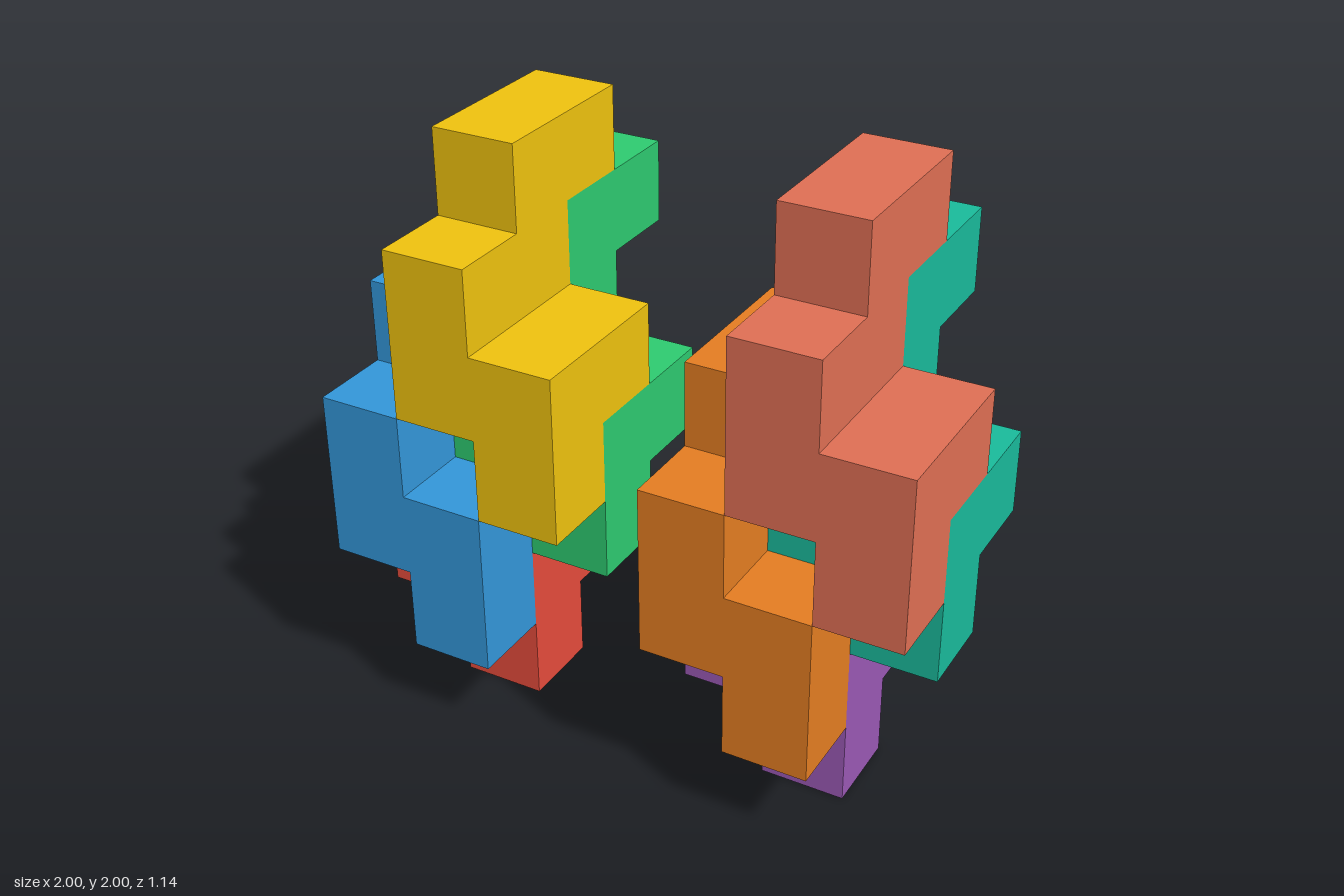
import * as THREE from 'three';
import { mergeGeometries } from 'three/addons/utils/BufferGeometryUtils.js';

const U = 2 / 7; // edge of one cube

// Eight cubes of the stepped puzzle piece: x, y, z in cube units
const CELLS = [
  [0, 3, 0], [0, 3, 1],
  [0, 2, 1], [0, 2, 2],
  [0, 1, 2],
  [1, 1, 1], [1, 1, 2],
  [1, 0, 2],
];

const DIRECTIONS = [[1, 0, 0], [-1, 0, 0], [0, 1, 0], [0, -1, 0], [0, 0, 1], [0, 0, -1]];

// Joins the cubes into one solid, keeping only the outer faces
function pieceGeometry() {
  const filled = new Set(CELLS.map(String));
  const faces = [];
  const front = new THREE.Vector3(0, 0, 1);
  for (const cell of CELLS) {
    for (const dir of DIRECTIONS) {
      if (filled.has(String(cell.map((c, a) => c + dir[a])))) continue;
      const normal = new THREE.Vector3(...dir);
      const face = new THREE.PlaneGeometry(U, U);
      face.applyQuaternion(new THREE.Quaternion().setFromUnitVectors(front, normal));
      const centre = cell.map((c, a) => (c + 0.5 + dir[a] / 2) * U);
      faces.push(face.translate(...centre));
    }
  }
  return mergeGeometries(faces);
}

// Where the four pieces of a stack sit, in cube units
const SLOTS = [
  ['upperFrontPiece', 1, 3, 1],
  ['lowerFrontPiece', 0, 1, 1],
  ['upperBackPiece', 1, 2, 0],
  ['lowerBackPiece', 0, 0, 0],
];

function createStack(name, startX, colors, geometry) {
  const stack = new THREE.Group();
  stack.name = name;
  SLOTS.forEach(([part, x, y, z], n) => {
    const mesh = new THREE.Mesh(geometry, new THREE.MeshStandardMaterial({ color: colors[n] }));
    mesh.name = part;
    mesh.position.set(x * U, y * U, z * U);
    stack.add(mesh);
  });
  stack.position.set(startX, 0, -2 * U);
  return stack;
}

export function createModel() {
  const model = new THREE.Group();
  model.name = 'interlockingCubePieces';
  const geometry = pieceGeometry();
  // Two equal stacks, one cube apart
  model.add(createStack('rightStack', -1, [0xf1c40f, 0x3498db, 0x2ecc71, 0xe74c3c], geometry));
  model.add(createStack('leftStack', U / 2, [0xe17055, 0xe67e22, 0x1abc9c, 0x9b59b6], geometry));
  return model;
}
